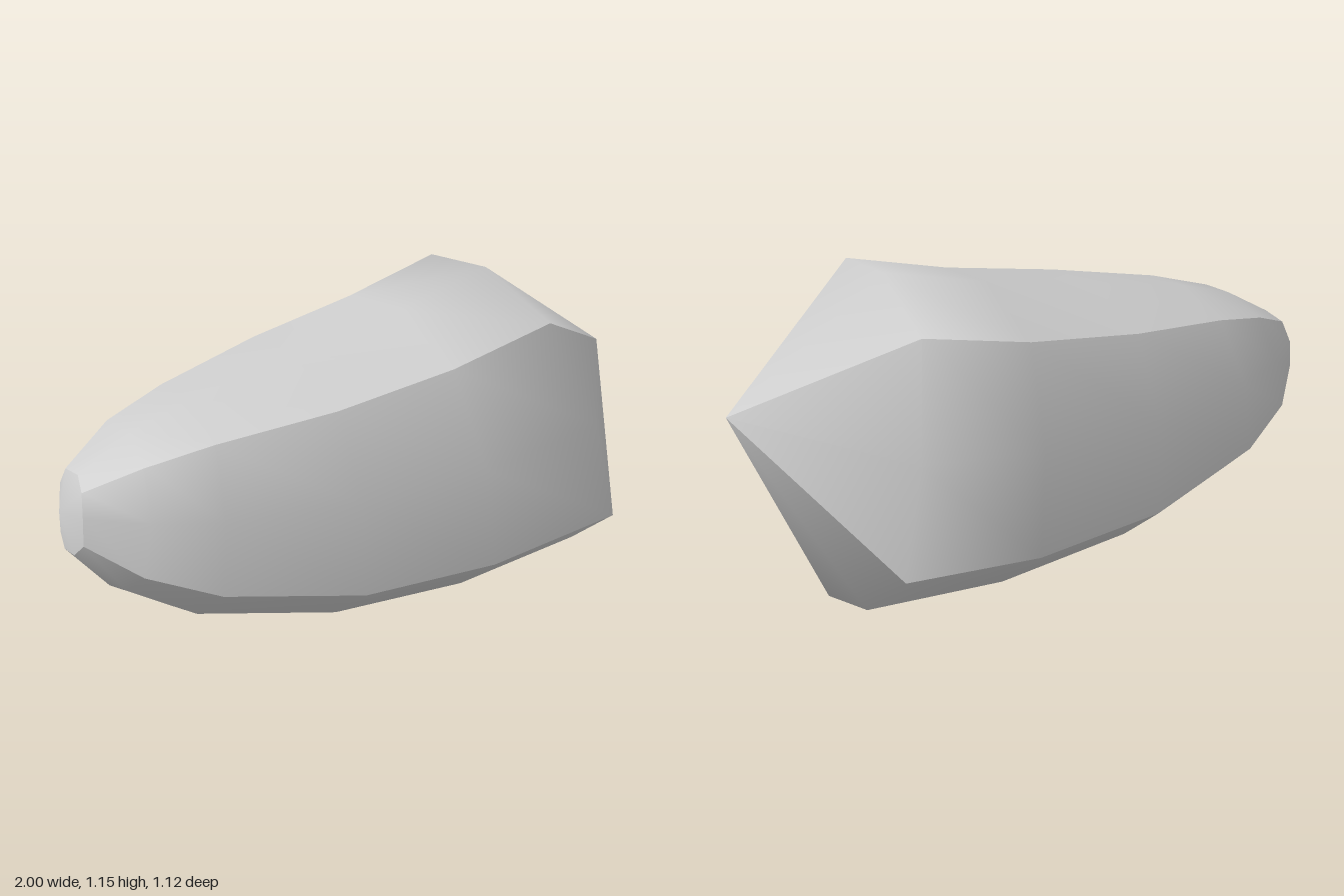
import * as THREE from 'three';
import { mergeVertices } from 'three/addons/utils/BufferGeometryUtils.js';

const TIP = [1, 0.785, 0];
const END = [-1, 0.66, 0];

// Lengthwise rails of the hull, blunt end to broad end: [x, y, z]
const crown = [[-0.93, 0.77, 0], [-0.76, 0.87, 0], [-0.57, 0.93, 0], [-0.22, 1.0, 0], [0.16, 1.07, 0], [0.49, 1.155, 0]];
const shoulder = [[-0.945, 0.755, 0.08], [-0.78, 0.835, 0.165], [-0.58, 0.885, 0.22], [-0.22, 0.94, 0.3], [0.16, 1.0, 0.33], [0.5, 1.085, 0.345]];
const flank = [[-0.96, 0.69, 0.115], [-0.8, 0.7, 0.25], [-0.61, 0.7, 0.345], [-0.22, 0.7, 0.445], [0.19, 0.72, 0.49], [0.58, 0.79, 0.52]];
const ridge = [[-0.97, 0.6, 0.12], [-0.84, 0.53, 0.26], [-0.64, 0.46, 0.365], [-0.22, 0.385, 0.475], [0.22, 0.38, 0.525], [0.66, 0.45, 0.56]];
const chine = [[-0.99, 0.545, 0.07], [-0.865, 0.415, 0.14], [-0.67, 0.295, 0.2], [-0.22, 0.18, 0.27], [0.25, 0.15, 0.3], [0.71, 0.2, 0.315]];
const keel = [[-1, 0.53, 0], [-0.88, 0.35, 0], [-0.69, 0.2, 0], [-0.22, 0.04, 0], [0.26, 0, 0], [0.75, 0.05, 0]];

const mirror = (rail) => rail.map(([x, y, z]) => [x, y, -z]);
const toTip = (rail) => [...rail, TIP];

// Skin between neighbouring rails, smooth inside and sharp at its border
function panel(name, rails, material) {
  const points = [];
  const triangle = (a, b, c) => {
    if (a !== b && b !== c && a !== c) points.push(...a, ...b, ...c);
  };
  for (let i = 0; i < rails.length - 1; i++) {
    for (let j = 0; j < rails[i].length - 1; j++) {
      const a = rails[i][j], b = rails[i + 1][j], c = rails[i + 1][j + 1], d = rails[i][j + 1];
      triangle(a, b, c);
      triangle(a, c, d);
    }
  }
  let geometry = new THREE.BufferGeometry();
  geometry.setAttribute('position', new THREE.Float32BufferAttribute(points, 3));
  geometry = mergeVertices(geometry);
  geometry.computeVertexNormals();
  const mesh = new THREE.Mesh(geometry, material);
  mesh.name = name;
  return mesh;
}

export function createModel() {
  const group = new THREE.Group();
  group.name = 'taperedStone';
  const material = new THREE.MeshStandardMaterial({ color: 0xcccccc, roughness: 0.8 });

  // Rails in order around the body, starting at the front shoulder
  const loop = [shoulder, flank, ridge, chine, keel,
    mirror(chine), mirror(ridge), mirror(flank), mirror(shoulder), crown, shoulder];
  const skin = loop.map(toTip);

  group.add(
    panel('frontSide', skin.slice(0, 3), material),
    panel('underside', skin.slice(2, 7), material),
    panel('backSide', skin.slice(6, 9), material),
    panel('topSide', skin.slice(8, 11), material),
    // Small blunt cap at the narrow end
    panel('endCap', loop.map((rail) => [END, rail[0]]), material),
  );
  return group;
}
